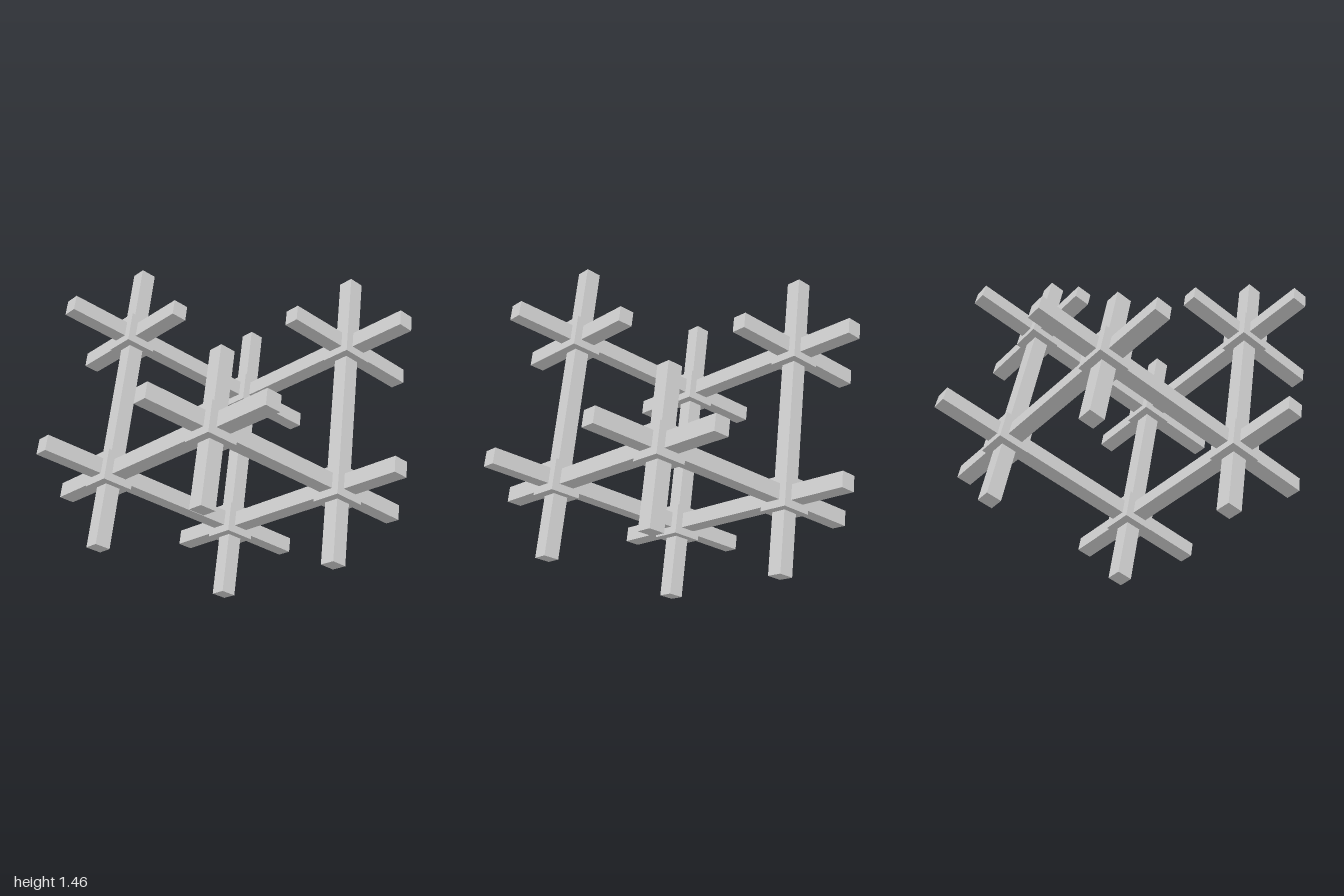
import * as THREE from 'three';

// Cubic lattice standing on one corner, with the topmost corner node left out.
const PITCH = 0.79; // distance between nodes
const BAR = 0.08; // bar thickness
const HUB = 0.16; // node cube size

export function createModel() {
  const model = new THREE.Group();
  model.name = 'latticeFrame';
  const material = new THREE.MeshStandardMaterial({ color: 0xcccccc, flatShading: true });

  const addBox = (parent, name, size, position) => {
    const mesh = new THREE.Mesh(new THREE.BoxGeometry(...size), material);
    mesh.name = name;
    mesh.position.set(...position);
    parent.add(mesh);
  };

  // Tilt the cube so that its body diagonal is vertical
  const lattice = new THREE.Group();
  lattice.name = 'lattice';
  const r = Math.sqrt(2 / 3), h = Math.sqrt(1 / 3), w = Math.sqrt(1 / 2);
  lattice.quaternion.setFromRotationMatrix(new THREE.Matrix4().makeBasis(
    new THREE.Vector3(r, h, 0),
    new THREE.Vector3(-r / 2, h, -w),
    new THREE.Vector3(-r / 2, h, w)
  ));
  lattice.position.y = h * (PITCH / 2 + BAR); // lowest bar corners touch the ground
  model.add(lattice);

  // Hubs at seven of the eight cube corners
  for (let i = 0; i < 7; i++) {
    const corner = [i & 1, (i >> 1) & 1, i >> 2];
    addBox(lattice, 'hub', [HUB, HUB, HUB], corner.map((c) => c * PITCH));
  }

  // Four parallel bars per axis, half a pitch past the end hubs;
  // the one that would reach the missing hub is half as long
  for (let axis = 0; axis < 3; axis++) {
    for (let j = 0; j < 2; j++) {
      for (let k = 0; k < 2; k++) {
        const short = j + k === 2;
        const size = [BAR, BAR, BAR];
        const position = [0, 0, 0];
        size[axis] = short ? PITCH : 2 * PITCH;
        position[axis] = short ? 0 : PITCH / 2;
        position[(axis + 1) % 3] = j * PITCH;
        position[(axis + 2) % 3] = k * PITCH;
        addBox(lattice, short ? 'shortBar' : 'longBar', size, position);
      }
    }
  }
  return model;
}
